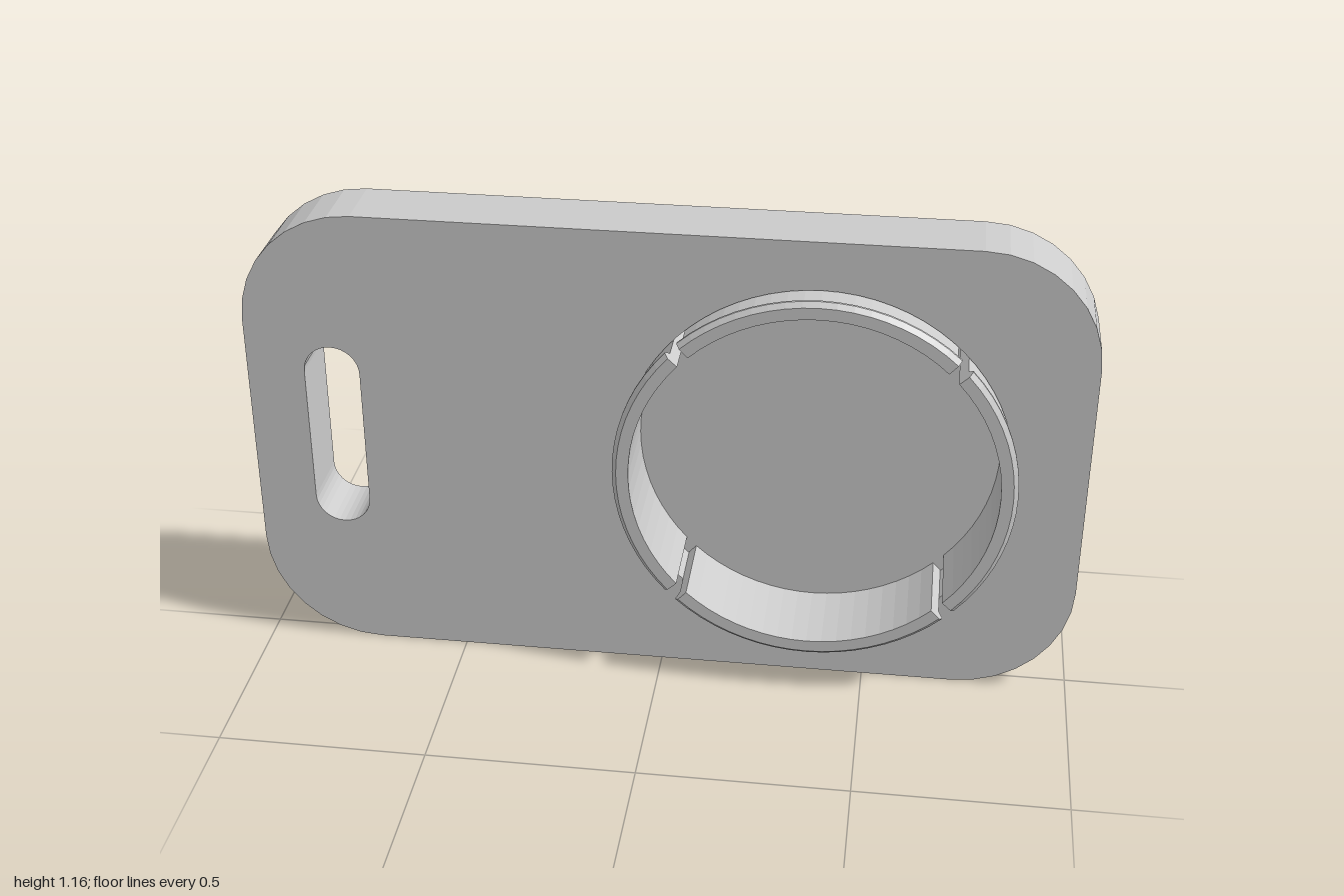
import * as THREE from 'three';
import { mergeGeometries } from 'three/addons/utils/BufferGeometryUtils.js';

const BACK = -0.13, FACE = 0.035, FLOOR = -0.085;   // plate depths along z
const HEIGHT = 1.16, CORNER = 0.28;
const RING = { x: 0.365, y: 0.58, inner: 0.433, outer: 0.46, lip: 0.473, top: 0.127 };
const SLIT = 0.039;                                  // half angle of each slit

// Rounded rectangle traced counter-clockwise
function roundedRect(path, x0, y0, x1, y1, r) {
  path.absarc(x1 - r, y0 + r, r, -Math.PI / 2, 0);
  path.absarc(x1 - r, y1 - r, r, 0, Math.PI / 2);
  path.absarc(x0 + r, y1 - r, r, Math.PI / 2, Math.PI);
  path.absarc(x0 + r, y0 + r, r, Math.PI, Math.PI * 1.5);
  path.closePath();
  return path;
}

// One quarter of the snap ring, a lathed section closed at both ends
function clipGeometry() {
  const { inner, outer, lip, top } = RING;
  const section = [
    [inner, FLOOR], [outer, FLOOR], [outer, 0.097], [lip, 0.109],
    [lip, 0.115], [0.462, top], [inner, top],
  ].map(([r, y]) => new THREE.Vector2(r, y));
  const start = Math.PI / 4 + SLIT, sweep = Math.PI / 2 - 2 * SLIT;
  const wall = new THREE.LatheGeometry([...section, section[0]], 18, start, sweep);
  const caps = [start, start + sweep].map((phi) =>
    new THREE.ShapeGeometry(new THREE.Shape(section)).rotateY(phi - Math.PI / 2));
  return mergeGeometries([wall, ...caps]).rotateX(Math.PI / 2);
}

export function createModel() {
  const model = new THREE.Group();
  const material = new THREE.MeshStandardMaterial({ color: 0xcccccc });
  const clipMaterial = new THREE.MeshStandardMaterial({
    color: 0xcccccc, flatShading: true, side: THREE.DoubleSide,
  });

  // Plate with the strap slot and the round pocket
  const outline = roundedRect(new THREE.Shape(), -1, 0, 1, HEIGHT, CORNER);
  const slot = roundedRect(new THREE.Path(), -0.86, 0.34, -0.725, 0.82, 0.067);
  const pocketRadius = RING.outer + 0.002;
  const circle = new THREE.EllipseCurve(RING.x, RING.y, pocketRadius, pocketRadius);
  const pocket = new THREE.Path(circle.getPoints(72).slice(0, 72));
  outline.holes.push(slot, pocket);
  const plate = new THREE.Mesh(
    new THREE.ExtrudeGeometry(outline, { depth: FACE - BACK, bevelEnabled: false, curveSegments: 4 }),
    material);
  plate.name = 'plate';
  plate.position.z = BACK;
  model.add(plate);

  // Floor that closes the pocket at the back
  const floor = new THREE.Mesh(
    new THREE.CylinderGeometry(pocketRadius, pocketRadius, FLOOR - BACK, 72)
      .rotateX(Math.PI / 2).rotateZ(Math.PI / 2),
    material);
  floor.name = 'pocketFloor';
  floor.position.set(RING.x, RING.y, (FLOOR + BACK) / 2);
  model.add(floor);

  // Four lipped clips separated by diagonal slits
  const ring = new THREE.Group();
  ring.name = 'snapRing';
  ring.position.set(RING.x, RING.y, 0);
  const geometry = clipGeometry();
  for (let i = 0; i < 4; i++) {
    const clip = new THREE.Mesh(geometry, clipMaterial);
    clip.name = `ringClip${i + 1}`;
    clip.rotation.z = i * Math.PI / 2;
    ring.add(clip);
  }
  model.add(ring);
  return model;
}
